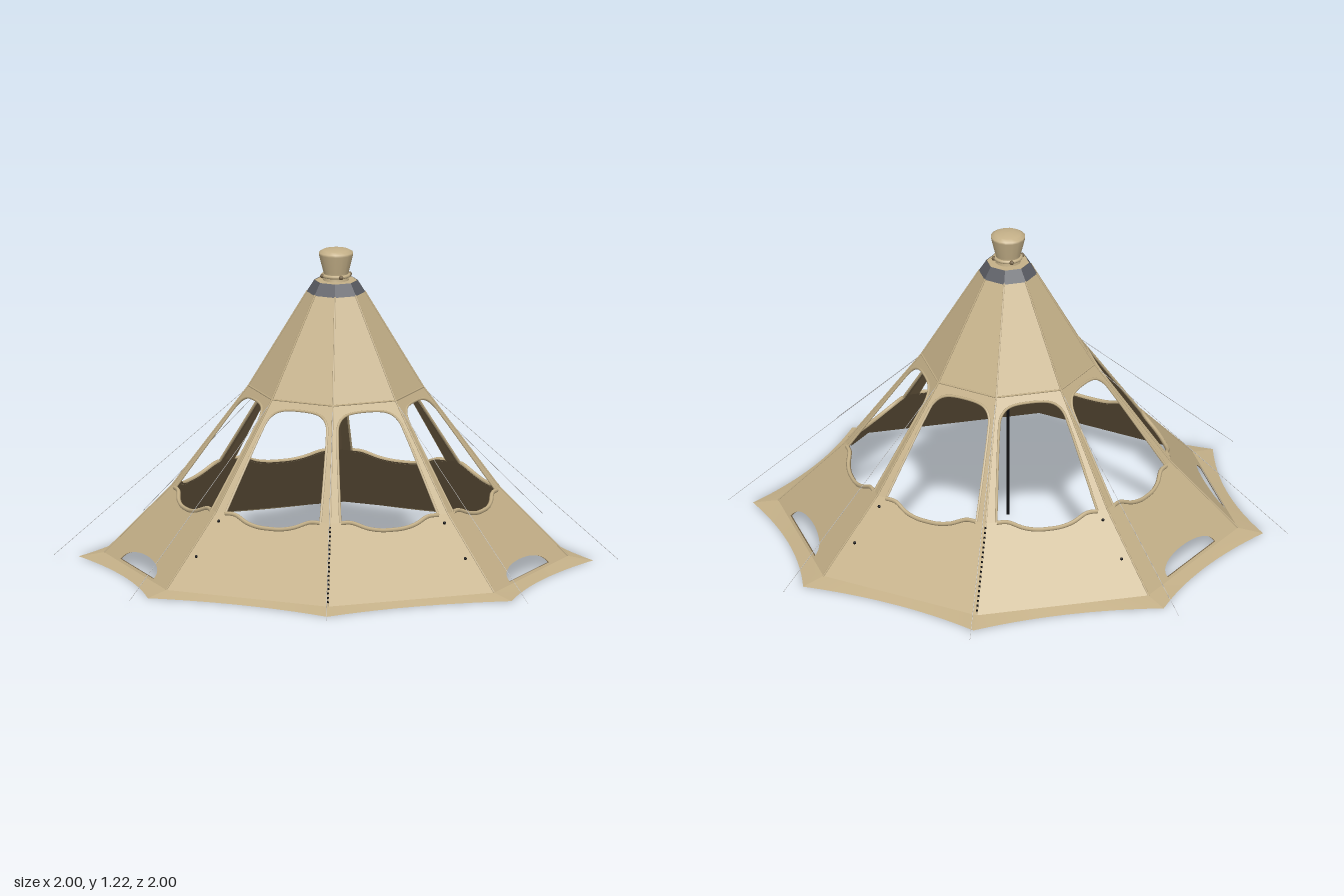
import * as THREE from 'three';

const material = (name, color) => {
  const m = new THREE.MeshStandardMaterial({ color, side: THREE.DoubleSide });
  m.name = name;
  return m;
};

// Apothem of the octagon at the hem, wall bend, eave and collar
const RINGS = [[0.02, 0.82], [0.285, 0.58], [0.68, 0.308], [1.055, 0.1]];
const HALF = Math.tan(Math.PI / 8);
const STEP = Math.PI / 4;

function apothem(y) {
  let i = 0;
  while (i < RINGS.length - 2 && y > RINGS[i + 1][0]) i++;
  const [y0, a0] = RINGS[i], [y1, a1] = RINGS[i + 1];
  return a0 + (a1 - a0) * (y - y0) / (y1 - y0);
}
const onWall = (x, y, out = 0) => new THREE.Vector3(x, y, apothem(y) + out);
const corner = (y, side = 1, out = 0) => onWall(side * (apothem(y) + out) * HALF, y, out);
const v2 = (x, y) => new THREE.Vector2(x, y);

// Smooth a half outline given from x > 0 to x = 0 and mirror it
function mirroredCurve(half, count) {
  const all = [...half, ...half.slice(0, -1).reverse().map(([x, y]) => [-x, y])];
  return new THREE.SplineCurve(all.map(([x, y]) => v2(x, y))).getPoints(count);
}

// Flat outline laid onto the sloping wall, moved out or in by an offset
function panel(points, offset, hole) {
  const shape = new THREE.Shape(points);
  if (hole) shape.holes.push(new THREE.Path(hole));
  const g = new THREE.ShapeGeometry(shape);
  const p = g.attributes.position;
  for (let i = 0; i < p.count; i++) p.setZ(i, apothem(p.getY(i)) + offset);
  g.computeVertexNormals();
  return g;
}

export function createModel() {
  const canvas = material('tan canvas', 0xc4b088);
  const lining = material('brown lining', 0x766448);
  const grey = material('grey collar', 0x5a5c63);
  const cordGrey = material('light grey cord', 0xbfc0c2);
  const black = material('black fittings', 0x0e0e10);

  const tent = new THREE.Group();
  tent.name = 'tent';
  const add = (parent, name, geometry, mat) => {
    const mesh = new THREE.Mesh(geometry, mat);
    mesh.name = name;
    parent.add(mesh);
    return mesh;
  };
  const rod = (parent, name, a, b, r, mat) =>
    add(parent, name, new THREE.TubeGeometry(new THREE.LineCurve3(a, b), 1, r, 6), mat);

  // Canvas outside with a darker lining just inside it
  const cloth = (points, hole) => [panel(points, 0, hole), panel(points, -0.005, hole)];
  const addCloth = (parent, name, [outer, inner]) => {
    add(parent, name, outer, canvas);
    add(parent, name + 'Lining', inner, lining);
  };

  // Window outline: wavy sill and arched head
  const sill = mirroredCurve([[0.2, 0.285], [0.155, 0.283], [0.1, 0.262], [0.05, 0.252], [0, 0.25]], 32);
  const head = mirroredCurve([[0.2, 0.285], [0.165, 0.45], [0.14, 0.56], [0.122, 0.615], [0.08, 0.645], [0, 0.652]], 48);
  const rimTube = (points, r, out) => new THREE.TubeGeometry(
    new THREE.CatmullRomCurve3(points.map(p => onWall(p.x, p.y, out))), 80, r, 6);
  const headRim = rimTube(head, 0.005, 0.002);
  const sillRoll = rimTube(sill, 0.008, 0.005);

  // Half-oval ground vent
  const vent = [];
  for (let i = 0; i <= 20; i++) {
    const t = Math.PI * i / 20;
    vent.push(v2(0.18 * Math.cos(t), 0.028 + 0.047 * Math.pow(Math.sin(t), 0.8)));
  }

  const c2 = (y, s) => v2(s * apothem(y) * HALF, y);
  const [yHem, yBend, yEave, yTop] = RINGS.map(r => r[0]);
  const lowerOutline = [c2(yHem, -1), c2(yHem, 1), c2(yBend, 1), ...sill, c2(yBend, -1)];
  const middleOutline = [c2(yBend, 1), c2(yEave, 1), c2(yEave, -1), c2(yBend, -1), ...head.slice().reverse()];
  const lowerPlain = cloth(lowerOutline);
  const lowerVented = cloth(lowerOutline, vent);
  const middle = cloth(middleOutline);
  const upper = cloth([c2(yEave, -1), c2(yEave, 1), c2(yTop, 1), c2(yTop, -1)]);

  // Ground skirt: strip from the hem to a scalloped outer edge
  const skirt = new THREE.BufferGeometry();
  const pos = [], index = [], N = 16;
  for (let i = 0; i <= N; i++) {
    const t = 2 * i / N - 1;
    pos.push(t * 0.82 * HALF, yHem, 0.82, t * 0.377, 0.003, 0.868 + 0.042 * t * t);
    if (i < N) index.push(2 * i, 2 * i + 1, 2 * i + 3, 2 * i, 2 * i + 3, 2 * i + 2);
  }
  skirt.setAttribute('position', new THREE.Float32BufferAttribute(pos, 3));
  skirt.setIndex(index);
  skirt.computeVertexNormals();

  const toggle = new THREE.SphereGeometry(0.006, 8, 6);
  const tooth = new THREE.BoxGeometry(0.006, 0.007, 0.006);

  for (let k = 0; k < 8; k++) {
    const side = new THREE.Group();
    side.name = 'tentSide' + k;
    side.rotation.y = k * STEP;
    tent.add(side);

    const vented = [1, 2, 5, 6].includes(k);
    addCloth(side, 'lowerWall', vented ? lowerVented : lowerPlain);
    addCloth(side, 'windowFrame', middle);
    addCloth(side, 'roofPanel', upper);
    add(side, 'groundSkirt', skirt, canvas);
    add(side, 'windowRim', headRim, canvas);
    add(side, 'sillRoll', sillRoll, canvas);

    // Ridge seam along one corner, eave seam along the side
    for (let i = 0; i < 3; i++)
      rod(side, 'ridgeSeam', corner(RINGS[i][0], 1, 0.001), corner(RINGS[i + 1][0], 1, 0.001), 0.0035, canvas);
    rod(side, 'eaveSeam', corner(yEave, -1, 0.001), corner(yEave, 1, 0.001), 0.0035, canvas);

    // Guy line from the eave corner to its ground anchor
    rod(side, 'guyLine', corner(0.67), new THREE.Vector3(0.413, 0.008, 0.998), 0.001, cordGrey);

    // Door toggles
    if (k % 4 === 0 || k % 4 === 3) {
      const s = k % 4 === 0 ? 1 : -1;
      for (const [x, y] of [[0.215, 0.255], [0.26, 0.135]])
        add(side, 'doorToggle', toggle, black).position.copy(onWall(s * x, y + 0.003, 0.006));
    }

    // Door zip: a row of teeth up the ridge
    if (k % 4 === 0)
      for (let y = 0.035; y < yBend; y += 0.014)
        add(side, 'zipTooth', tooth, black).position.copy(corner(y, -1, 0.004));
  }

  // Octagonal collar, closed by a canvas disc
  const octagon = (rTop, rBottom, h, open) => {
    const g = new THREE.CylinderGeometry(rTop / Math.cos(Math.PI / 8), rBottom / Math.cos(Math.PI / 8), h, 8, 1, open)
      .rotateY(Math.PI / 8).toNonIndexed();
    g.computeVertexNormals();
    return g;
  };
  add(tent, 'collar', octagon(0.077, 0.104, 0.046, true), grey).position.y = 1.075;
  add(tent, 'collarTop', octagon(0.075, 0.076, 0.004, false), canvas).position.y = 1.096;

  // Flared cap with a gathered neck and a domed top
  const profile = [[0.05, 1.096], [0.046, 1.115], [0.049, 1.13], [0.066, 1.198], [0.066, 1.207], [0.05, 1.216], [0.025, 1.221], [0, 1.222]];
  add(tent, 'cap', new THREE.LatheGeometry(profile.map(([x, y]) => v2(x, y)), 16), canvas);
  const cord = add(tent, 'capCord', new THREE.TorusGeometry(0.05, 0.007, 8, 24), canvas);
  cord.rotation.x = Math.PI / 2;
  cord.position.y = 1.117;
  for (let k = 0; k < 4; k++)
    add(tent, 'cordKnot', new THREE.SphereGeometry(0.009, 8, 6), lining)
      .position.set(0.056 * Math.sin(k * Math.PI / 2), 1.117, 0.056 * Math.cos(k * Math.PI / 2));

  // Centre pole
  add(tent, 'centrePole', new THREE.CylinderGeometry(0.006, 0.006, 1.07, 10), black).position.y = 0.555;

  return tent;
}
